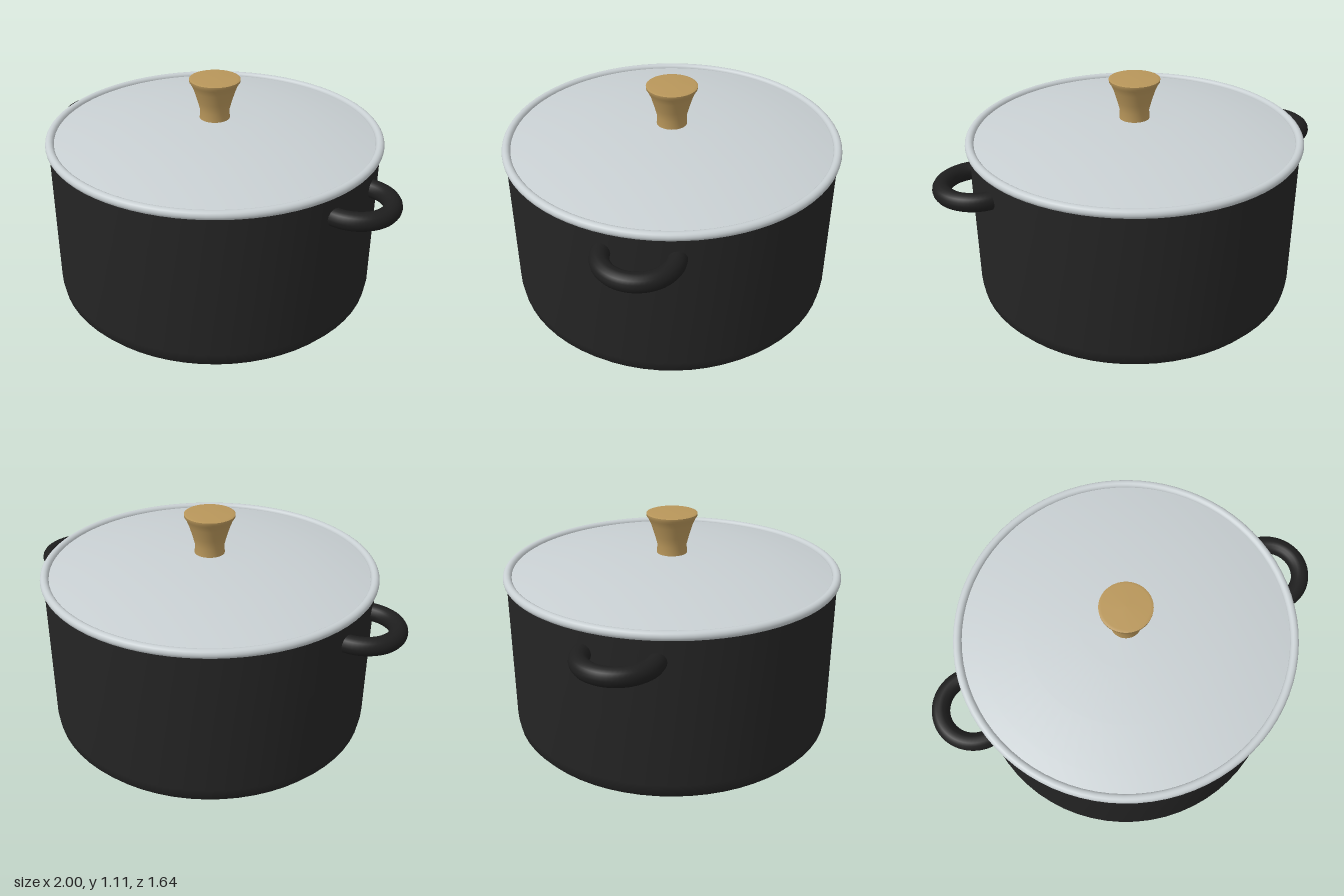
import * as THREE from 'three';

function material(name, color) {
  const m = new THREE.MeshStandardMaterial({ color });
  m.name = name;
  return m;
}

export function createModel() {
  const group = new THREE.Group();
  group.name = 'cookingPot';
  const black = material('potBlack', 0x242424);
  const handleBlack = material('handleBlack', 0x1e1e1e);
  const steel = material('lidSteel', 0xc8cfd2);
  const brass = material('knobBrass', 0xb8965a);

  const add = (name, geometry, mat) => {
    const mesh = new THREE.Mesh(geometry, mat);
    mesh.name = name;
    group.add(mesh);
    return mesh;
  };
  // Profiles are [radius, height] pairs, running from bottom to top
  const lathe = (points, segments) =>
    new THREE.LatheGeometry(points.map(([r, y]) => new THREE.Vector2(r, y)), segments);

  // Body with rounded foot and hollow inside
  add('body', lathe([
    [0, 0], [0.72, 0.004], [0.77, 0.02], [0.795, 0.05], [0.803, 0.1],
    [0.803, 0.81], [0.77, 0.81], [0.77, 0.08], [0.7, 0.04], [0, 0.04],
  ], 64), black);

  // Rolled rim
  add('rim', new THREE.TorusGeometry(0.798, 0.021, 16, 80).rotateX(Math.PI / 2).translate(0, 0.822, 0), steel);

  // Shallow domed lid
  add('lid', lathe([
    [0.79, 0.822], [0.7, 0.841], [0.48, 0.88], [0.22, 0.9], [0, 0.905],
  ], 64), steel);

  // Flared knob with a flat top
  add('knob', lathe([
    [0.074, 0.895], [0.071, 0.945], [0.083, 0.99], [0.1, 1.045],
    [0.113, 1.075], [0.122, 1.088], [0.123, 1.1],
  ], 40), brass);
  add('knobTop', lathe([[0.123, 1.1], [0.11, 1.104], [0, 1.106]], 40), brass);

  // Two loop handles, their ends sunk into the wall
  for (const side of [1, -1]) {
    const loop = new THREE.TorusGeometry(0.163, 0.043, 16, 32, Math.PI + 0.4)
      .rotateZ(-0.2).rotateX(Math.PI / 2).rotateY(Math.PI / 2).translate(0.794, 0, 0);
    const handle = add(side > 0 ? 'leftHandle' : 'rightHandle', loop, handleBlack);
    handle.position.y = 0.704;
    handle.rotation.y = side > 0 ? 0 : Math.PI;
  }
  return group;
}
